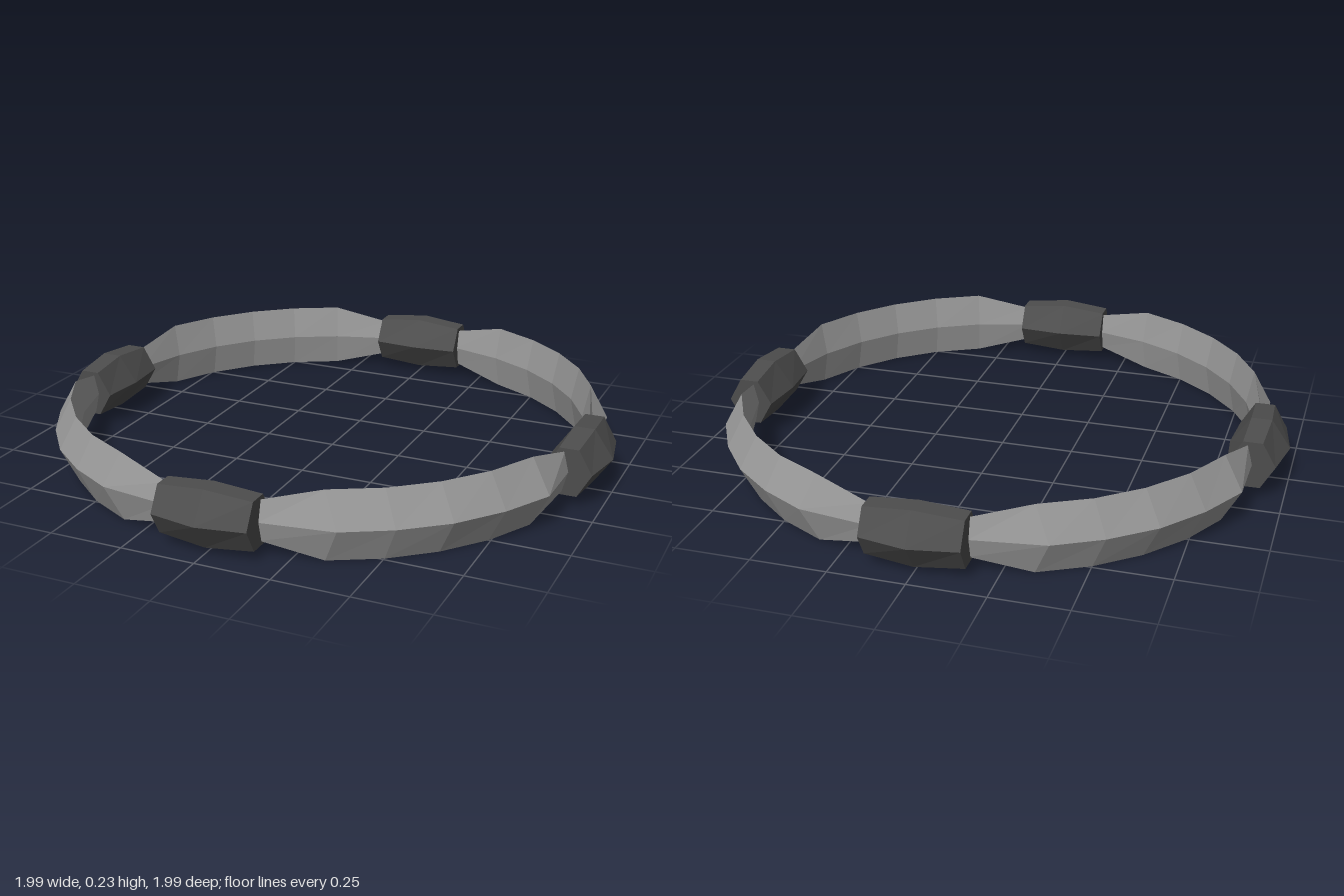
import * as THREE from 'three';

const MID = 0.115; // height of the ring's centre line

// Skin a list of equal-sized cross-sections and close both ends.
function loft(sections) {
  const pos = [];
  const tri = (...pts) => pts.forEach((p) => pos.push(...p));
  const n = sections[0].length;
  for (let i = 0; i < sections.length - 1; i++) {
    for (let j = 0; j < n; j++) {
      const k = (j + 1) % n;
      const a = sections[i][j], b = sections[i][k];
      const c = sections[i + 1][k], d = sections[i + 1][j];
      tri(a, d, c);
      tri(a, c, b);
    }
  }
  const first = sections[0], last = sections[sections.length - 1];
  for (let j = 1; j < n - 1; j++) {
    tri(first[0], first[j], first[j + 1]);
    tri(last[0], last[j + 1], last[j]);
  }
  const g = new THREE.BufferGeometry();
  g.setAttribute('position', new THREE.Float32BufferAttribute(pos, 3));
  g.computeVertexNormals();
  return g;
}

// Diamond-section band over one quarter, mirrored by sx and sz.
function bandGeometry(sx, sz) {
  // [ridge angle, ridge radius, edge angle, edge radius, inner radius, half height]
  const stations = [
    [10, 0.905, 10, 0.888, 0.873, 0.067],
    [24.8, 0.943, 22.7, 0.895, 0.872, MID],
    [35.3, 0.947, 34, 0.896, 0.872, MID],
    [46.1, 0.953, 45, 0.896, 0.872, MID],
    [57, 0.954, 56, 0.896, 0.872, MID],
    [67.9, 0.958, 67.3, 0.895, 0.872, MID],
    [80, 0.905, 80, 0.888, 0.873, 0.067],
  ];
  const at = (deg, r, y) => {
    const t = THREE.MathUtils.degToRad(deg);
    return [sx * r * Math.sin(t), y, sz * r * Math.cos(t)];
  };
  const sections = stations.map(([ra, rr, ea, er, ir, h]) => [
    at(ra, rr, MID), at(ea, er, MID + h), at(ea, ir, MID), at(ea, er, MID - h),
  ]);
  if (sx * sz < 0) sections.reverse();
  return loft(sections);
}

// Hexagonal clasp, fuller in the middle than at its ends.
function claspGeometry() {
  const hex = (x, outer, flatOut, flatIn, inner, h) => [
    [x, MID, outer], [x, MID + h, flatOut], [x, MID + h, flatIn],
    [x, MID, inner], [x, MID - h, flatIn], [x, MID - h, flatOut],
  ];
  const end = [0.968, 0.922, 0.857, 0.81, 0.08];
  return loft([
    hex(-0.16, ...end),
    hex(0, 0.997, 0.931, 0.862, 0.797, 0.095),
    hex(0.16, ...end),
  ]);
}

export function createModel() {
  const model = new THREE.Group();
  model.name = 'ring';
  const bandMaterial = new THREE.MeshStandardMaterial({ color: 0x999999, flatShading: true });
  const claspMaterial = new THREE.MeshStandardMaterial({ color: 0x4d4d4d, flatShading: true });

  // Four curved bands
  for (const sx of [1, -1]) {
    for (const sz of [1, -1]) {
      const band = new THREE.Mesh(bandGeometry(sx, sz), bandMaterial);
      band.name = `${sz > 0 ? 'front' : 'back'}${sx > 0 ? 'Left' : 'Right'}Band`;
      model.add(band);
    }
  }

  // Four clasps joining the bands
  const clasp = claspGeometry();
  ['front', 'left', 'back', 'right'].forEach((side, i) => {
    const mesh = new THREE.Mesh(clasp, claspMaterial);
    mesh.name = `${side}Clasp`;
    mesh.rotation.y = (i * Math.PI) / 2;
    model.add(mesh);
  });
  return model;
}
